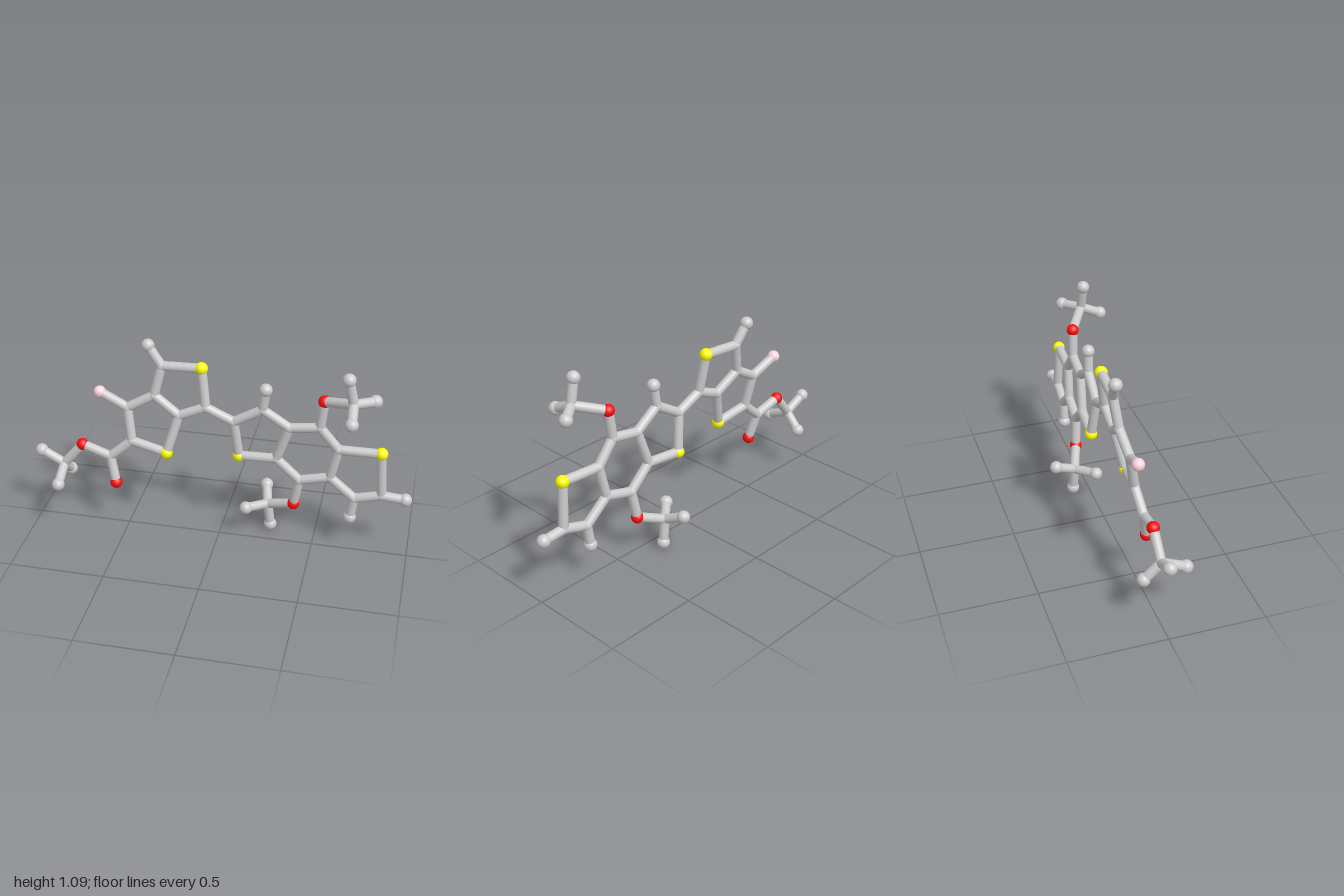
import * as THREE from 'three';

const STICK = 0.025;
const material = (color) => new THREE.MeshStandardMaterial({ color });
const kinds = {
  carbon: { radius: 0.027, mat: material(0xcccccc) },
  hydrogen: { radius: 0.034, mat: material(0xcccccc) },
  sulfur: { radius: 0.033, mat: material(0xffff00) },
  oxygen: { radius: 0.032, mat: material(0xff0d0d) },
  fluorine: { radius: 0.032, mat: material(0xffd5dc) },
};

// Each fragment lists its atoms as key: [kind, x, y, z]
const C = 'carbon', H = 'hydrogen', S = 'sulfur', O = 'oxygen', F = 'fluorine';
const fragments = {
  leftRings: {
    a1: [C, -0.31, 0.95, -0.055], a2: [S, -0.10, 0.962, -0.045], a3: [C, -0.075, 0.755, -0.02],
    a4: [C, -0.215, 0.695, -0.015], a5: [C, -0.348, 0.787, -0.035], a6: [C, -0.49, 0.705, -0.025],
    a7: [C, -0.465, 0.525, 0.005], a8: [S, -0.275, 0.487, 0.025],
    a9: [H, -0.38, 1.053, -0.065], a10: [F, -0.64, 0.773, -0.04],
  },
  ester: {
    e1: [C, -0.583, 0.422, 0.015], e2: [O, -0.55, 0.28, 0.043], e3: [O, -0.738, 0.47, 0.005],
    e4: [C, -0.845, 0.342, 0.01], e5: [H, -0.968, 0.406, 0.005],
    e6: [H, -0.84, 0.257, -0.075], e7: [H, -0.842, 0.285, 0.138],
  },
  rightRings: {
    b1: [C, 0.07, 0.69, -0.018], b2: [C, 0.22, 0.78, -0.012], b3: [C, 0.358, 0.69, -0.015],
    b4: [C, 0.294, 0.495, -0.025], b5: [S, 0.096, 0.481, -0.038], b6: [C, 0.513, 0.715, -0.008],
    b7: [C, 0.612, 0.597, -0.01], b8: [C, 0.575, 0.422, -0.018], b9: [C, 0.417, 0.38, -0.025],
    b10: [S, 0.829, 0.604, 0.0], b11: [C, 0.845, 0.353, -0.008], b12: [C, 0.706, 0.313, -0.015],
    b13: [H, 0.235, 0.896, -0.008], b14: [H, 0.968, 0.343, -0.007], b15: [H, 0.69, 0.193, -0.017],
  },
  upperMethoxy: {
    m1: [O, 0.53, 0.868, -0.003], m2: [C, 0.68, 0.918, 0.088], m3: [H, 0.652, 1.05, 0.094],
    m4: [H, 0.78, 0.904, 0.01], m5: [H, 0.685, 0.866, 0.198],
  },
  lowerMethoxy: {
    n1: [O, 0.39, 0.223, -0.037], n2: [C, 0.246, 0.168, -0.088], n3: [H, 0.144, 0.185, 0.003],
    n4: [H, 0.222, 0.217, -0.198], n5: [H, 0.262, 0.036, -0.093],
  },
};

// Chains of bonded atoms, rings closing on their first atom
const chains = [
  'a1 a2 a3 a4 a5 a1', 'a5 a6 a7 a8 a4', 'a1 a9', 'a6 a10',
  'a7 e1 e2', 'e1 e3 e4 e5', 'e6 e4 e7',
  'a3 b1 b2 b3 b4 b5 b1', 'b3 b6 b7 b8 b9 b4', 'b7 b10 b11 b12 b8',
  'b2 b13', 'b11 b14', 'b12 b15',
  'b6 m1 m2 m3', 'm4 m2 m5', 'b9 n1 n2 n3', 'n4 n2 n5',
];

function makeBond(a, b) {
  const dir = b.clone().sub(a);
  const bond = new THREE.Mesh(new THREE.CylinderGeometry(STICK, STICK, dir.length(), 20, 1, true), kinds.carbon.mat);
  bond.position.copy(a).add(b).multiplyScalar(0.5);
  bond.quaternion.setFromUnitVectors(new THREE.Vector3(0, 1, 0), dir.normalize());
  bond.name = 'bond';
  return bond;
}

export function createModel() {
  const model = new THREE.Group();
  model.name = 'stickMolecule';
  const positions = {};

  // Atom balls, grouped by fragment
  for (const [name, atoms] of Object.entries(fragments)) {
    const group = new THREE.Group();
    group.name = name;
    for (const [key, [kind, x, y, z]] of Object.entries(atoms)) {
      const { radius, mat } = kinds[kind];
      const ball = new THREE.Mesh(new THREE.SphereGeometry(radius, 24, 16), mat);
      ball.position.set(x, y, z);
      ball.name = kind + 'Atom';
      positions[key] = ball.position;
      group.add(ball);
    }
    model.add(group);
  }

  // Sticks between neighbouring atoms
  const bonds = new THREE.Group();
  bonds.name = 'bonds';
  for (const chain of chains) {
    const keys = chain.split(' ');
    for (let i = 1; i < keys.length; i++) {
      bonds.add(makeBond(positions[keys[i - 1]], positions[keys[i]]));
    }
  }
  model.add(bonds);
  return model;
}
